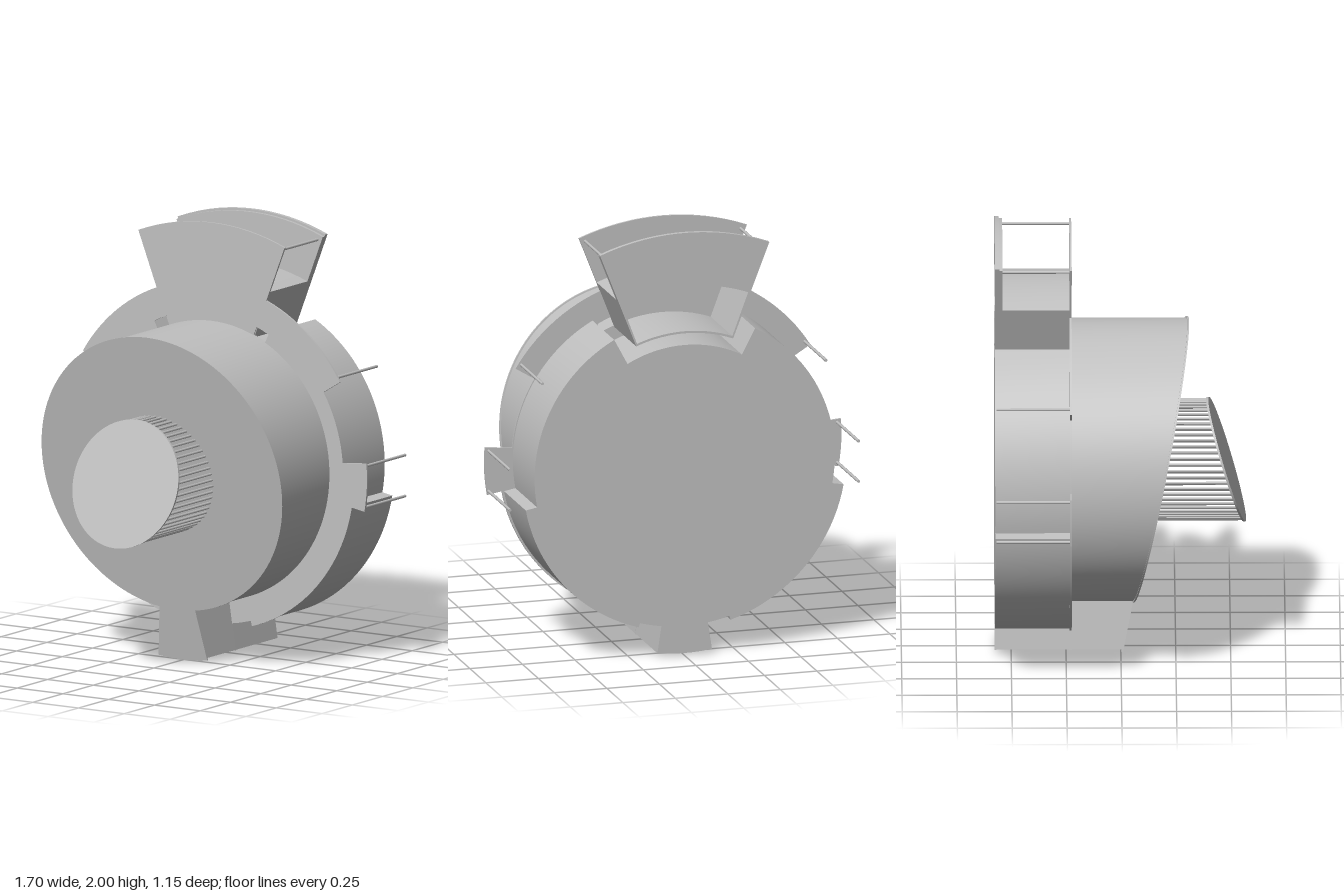
import * as THREE from 'three';
import { toCreasedNormals } from 'three/addons/utils/BufferGeometryUtils.js';

const CY = 0.89;                       // height of the common axis
const BACK = -0.575, PLATE = -0.23;    // rear face and flange plane
const rad = (d) => d * Math.PI / 180;
const polar = (a, r) => new THREE.Vector2(r * Math.cos(rad(a)), CY + r * Math.sin(rad(a)));

// Points along an arc, angles in degrees from +x
function arc(a0, a1, r) {
  const n = Math.max(2, Math.ceil(Math.abs(a1 - a0) / 3));
  return Array.from({ length: n + 1 }, (_, i) => polar(a0 + (a1 - a0) * i / n, r));
}

// Closed outline from [start, end, radius] arcs of the +x half, mirrored to -x
function mirroredShape(half) {
  const other = half.map(([a, b, r]) => [180 - b, 180 - a, r]).reverse();
  return new THREE.Shape([...half, ...other].flatMap(([a, b, r]) => arc(a, b, r)));
}

const sector = (a0, a1, r0, r1) => new THREE.Shape([...arc(a0, a1, r1), ...arc(a1, a0, r0)]);

// Slanted planes of the drum front and of the inlet cap
const drumZ = (y) => 0.01 + 0.197 * (y - 0.01);
const capZ = (y) => 0.57 - 0.304 * (y - 0.61);

// Extrude a shape from z0 to z1; either end may be a function of y
function prism(shape, z0, z1) {
  const geo = new THREE.ExtrudeGeometry(shape, { depth: 1, bevelEnabled: false });
  const p = geo.attributes.position;
  const at = (z, y) => (typeof z === 'function' ? z(y) : z);
  for (let i = 0; i < p.count; i++) p.setZ(i, at(p.getZ(i) > 0.5 ? z1 : z0, p.getY(i)));
  geo.computeVertexNormals();
  return toCreasedNormals(geo, 0.35);
}

export function createModel() {
  const model = new THREE.Group();
  const grey = new THREE.MeshStandardMaterial({ color: 0xc0c0c0 });
  grey.name = 'grey';

  const add = (name, geo) => {
    const mesh = new THREE.Mesh(geo, grey);
    mesh.name = name;
    model.add(mesh);
    return mesh;
  };
  const rod = (name, x, y, z0, z1, r, sides) => {
    const mesh = add(name, new THREE.CylinderGeometry(r, r, z1 - z0, sides));
    mesh.rotation.x = Math.PI / 2;
    mesh.position.set(x, y, (z0 + z1) / 2);
  };

  // Rear drum: wider below the side tabs, notched at the top
  add('rearDrum', prism(mirroredShape([
    [-90, -81.5, 0.878], [-81.5, -73.5, 0.75], [-73.5, -10.6, 0.77],
    [-10.6, 62, 0.715], [62, 90, 0.58],
  ]), BACK, PLATE - 0.005));

  // Flange plate with side tabs, wings, tall top tab and two small windows
  const flange = mirroredShape([
    [-90, -81.5, 0.88], [-81.5, -73.5, 0.755], [-73.5, -10.4, 0.78], [-10.4, 4.8, 0.85],
    [4.8, 31.7, 0.72], [31.7, 68.7, 0.825], [68.7, 90, 1.1],
  ]);
  for (const a of [63, 111]) {
    flange.holes.push(new THREE.Path(sector(a, a + 6, 0.645, 0.688).getPoints()));
  }
  add('flangePlate', prism(flange, PLATE - 0.005, PLATE + 0.005));

  // Front drum with a slanted face and a foot running down to the ground
  const drumShape = (r, foot) => mirroredShape([[-90, -81.4, foot], [-81.4, 90, r]]);
  add('frontDrum', prism(drumShape(0.645, 0.878), PLATE, (y) => drumZ(y) - 0.008));
  add('frontDrumLip', prism(drumShape(0.652, 0.89), (y) => drumZ(y) - 0.008, drumZ));

  // Open-backed box under the top tab
  add('topBoxRoof', prism(sector(68.7, 111.3, 0.86, 0.87), -0.54, PLATE));
  add('topBoxFloor', prism(sector(68.7, 111.3, 0.635, 0.645), BACK, PLATE));
  for (const a of [68.7, 110.6]) {
    add('topBoxSide', prism(sector(a, a + 0.7, 0.64, 0.87), BACK, PLATE));
  }

  // Rear top panel with a thin raised rim
  add('rearTopPanel', prism(sector(68.7, 111.3, 0.86, 1.1), BACK, -0.54));
  add('rearTopRim', prism(sector(68.7, 111.3, 1.09, 1.11), BACK, -0.555));

  // Spacer rods behind the flange corners
  for (const s of [-1, 1]) {
    for (const [x, y] of [[0.37, 1.9], [0.675, 1.34], [0.83, 0.945], [0.83, 0.755]]) {
      rod('spacerRod', s * x, y, -0.57, PLATE, 0.007, 8);
    }
  }

  // Inlet cage: a ring of thin bars closed by a slanted cap
  const bars = 60;
  for (let i = 0; i < bars; i++) {
    const p = polar(360 * i / bars, 0.273);
    rod('inletBar', p.x, p.y, drumZ(p.y) - 0.01, capZ(p.y) - 0.005, 0.006, 6);
  }
  add('inletCap', prism(new THREE.Shape(arc(0, 357, 0.284)), (y) => capZ(y) - 0.01, capZ));

  return model;
}
